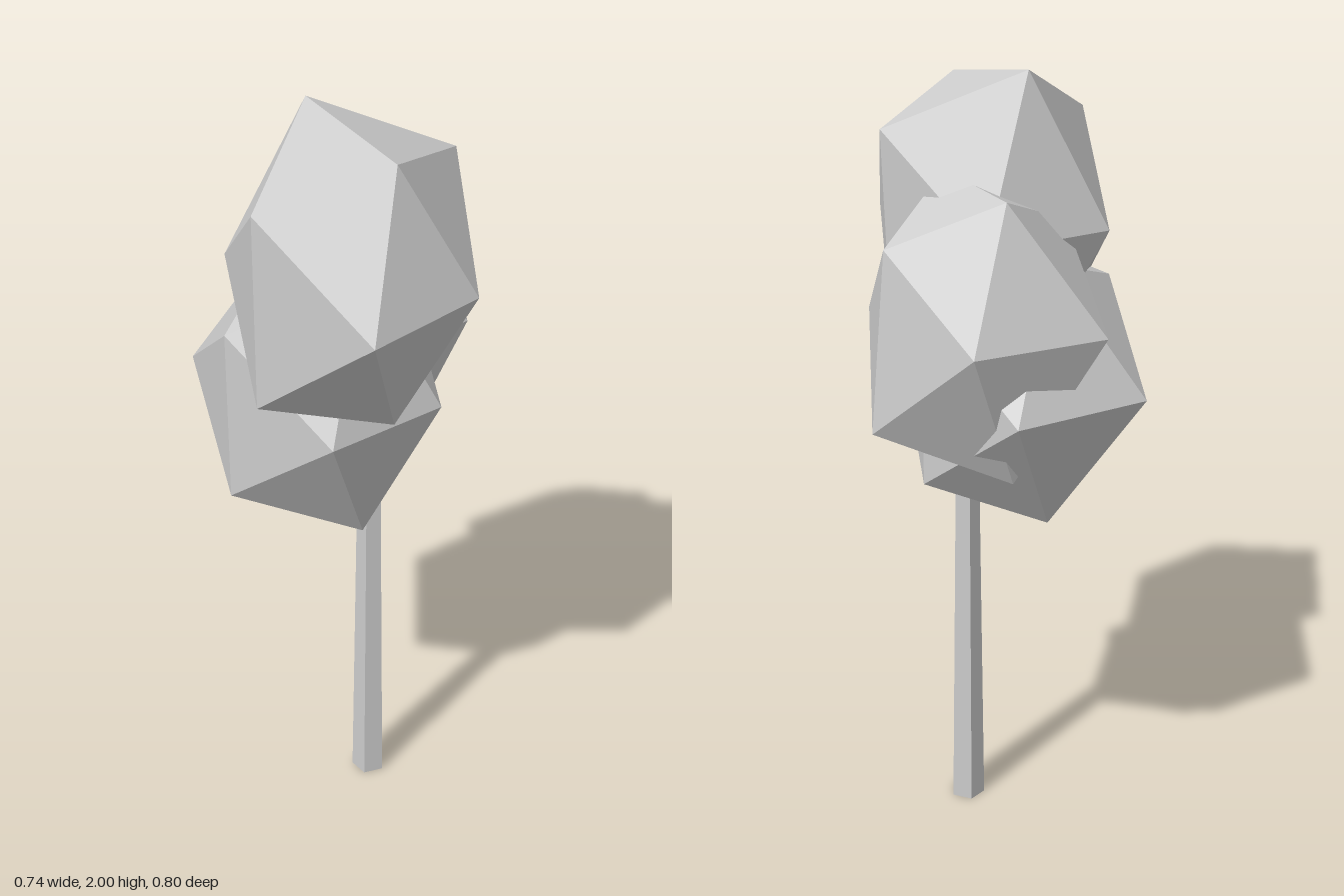
import * as THREE from 'three';
import { ConvexGeometry } from 'three/addons/geometries/ConvexGeometry.js';

// Twelve corners of each slightly uneven icosahedron:
// top pair, bottom pair, upper sides, lower sides, front pair, back pair
const CLUMPS = {
  upperFoliage: [
    [-0.08, 2.0, -0.085], [-0.08, 1.945, 0.25],
    [-0.08, 1.23, -0.08], [-0.08, 1.28, 0.25],
    [-0.37, 1.85, 0.1], [0.22, 1.86, 0.1],
    [-0.37, 1.36, 0.1], [0.2, 1.38, 0.1],
    [-0.26, 1.61, 0.4], [0.08, 1.61, 0.355],
    [-0.25, 1.61, -0.19], [0.1, 1.61, -0.185],
  ],
  sideFoliage: [
    [0.085, 1.74, -0.245], [0.085, 1.76, 0.03],
    [0.085, 1.05, -0.28], [0.085, 1.06, 0.07],
    [-0.18, 1.63, -0.1], [0.33, 1.63, -0.1],
    [-0.2, 1.18, -0.1], [0.37, 1.18, -0.1],
    [-0.07, 1.41, 0.145], [0.235, 1.41, 0.145],
    [-0.1, 1.42, -0.4], [0.247, 1.42, -0.36],
  ],
  lowerFoliage: [
    [-0.045, 1.57, -0.24], [-0.045, 1.6, 0.085],
    [-0.045, 0.9, -0.24], [-0.045, 0.87, 0.085],
    [-0.33, 1.46, -0.085], [0.22, 1.46, -0.085],
    [-0.33, 1.005, -0.085], [0.22, 1.01, -0.085],
    [-0.225, 1.235, 0.2], [0.11, 1.235, 0.2],
    [-0.23, 1.235, -0.387], [0.14, 1.235, -0.383],
  ],
};

export function createModel() {
  const tree = new THREE.Group();
  tree.name = 'tree';

  const paleGrey = new THREE.MeshStandardMaterial({ color: 0xcccccc });
  paleGrey.name = 'paleGrey';

  // Faceted foliage clumps
  for (const [name, corners] of Object.entries(CLUMPS)) {
    const points = corners.map((c) => new THREE.Vector3(...c));
    const clump = new THREE.Mesh(new ConvexGeometry(points), paleGrey);
    clump.name = name;
    tree.add(clump);
  }

  // Five-sided tapering trunk, one corner towards +x
  const height = 1.1;
  const trunkGeometry = new THREE.CylinderGeometry(0.031, 0.046, height, 5, 1, false, Math.PI / 2).toNonIndexed();
  trunkGeometry.computeVertexNormals();
  const trunk = new THREE.Mesh(trunkGeometry, paleGrey);
  trunk.name = 'trunk';
  trunk.position.set(0.028, height / 2, 0.023);
  tree.add(trunk);

  return tree;
}
